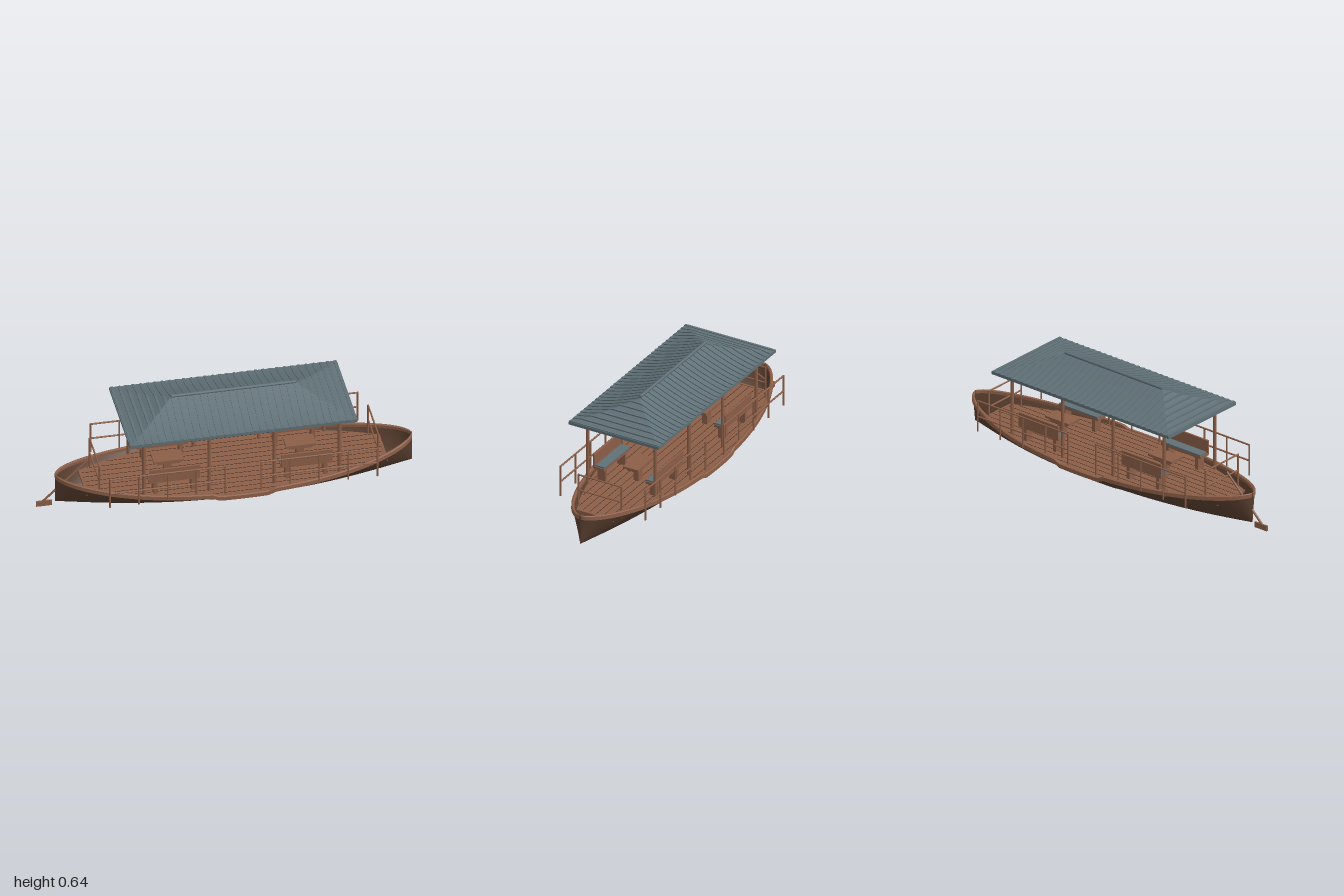
import * as THREE from 'three';

const CX = 0.045, HALF = 0.945;          // hull centre and half length
const DECK = 0.148;
const mat = (name, color, side = THREE.FrontSide) => {
  const m = new THREE.MeshStandardMaterial({ color, side });
  m.name = name;
  return m;
};

// Hull lines as functions of x
const rel = x => Math.min(1, Math.abs((x - CX) / HALF));
const beam = x => 0.281 * Math.pow(1 - rel(x) ** 2, 0.6);
const keel = x => 0.048 * rel(x) ** 2.5;
const sheer = x => {
  const dip = 1 - THREE.MathUtils.smoothstep(Math.abs(x - 0.05), 0.13, 0.17);
  return 0.162 + 0.05 * rel(x) ** 2.5 - 0.015 * dip;
};
const widthAt = (x, y) => beam(x) * Math.pow(THREE.MathUtils.clamp((y - keel(x)) / (sheer(x) - keel(x)), 0, 1), 1 / 1.9);
// Roof height by distance from the eave
const EX = 0.6025, EZ = 0.27;
const roofY = d => 0.532 + 0.088 * Math.pow(Math.max(0, d) / EZ, 1.35);

// Grid surface from f(u, v) -> [x, y, z]
function surface(f, nu, nv) {
  const pos = [], idx = [];
  for (let i = 0; i <= nu; i++) for (let j = 0; j <= nv; j++) pos.push(...f(i / nu, j / nv));
  for (let i = 0; i < nu; i++) for (let j = 0; j < nv; j++) {
    const a = i * (nv + 1) + j, b = a + nv + 1;
    idx.push(a, a + 1, b, a + 1, b + 1, b);
  }
  const g = new THREE.BufferGeometry();
  g.setAttribute('position', new THREE.Float32BufferAttribute(pos, 3));
  g.setIndex(idx);
  g.computeVertexNormals();
  return g;
}

export function createModel() {
  const root = new THREE.Group();
  root.name = 'canopyBoat';
  const hullMat = mat('darkHullWood', 0x573d2e, THREE.DoubleSide);
  const wood = mat('warmWood', 0x8b5e47, THREE.DoubleSide);
  const slate = mat('slateRoof', 0x5f7076, THREE.DoubleSide);
  const seam = mat('deckSeam', 0x3a271d);

  const add = (name, geo, m, parent = root) => {
    const mesh = new THREE.Mesh(geo, m);
    mesh.name = name;
    parent.add(mesh);
    return mesh;
  };
  const group = name => {
    const g = new THREE.Group();
    g.name = name;
    root.add(g);
    return g;
  };
  const box = (name, w, h, d, x, y, z, m = wood, parent = root) => {
    const mesh = add(name, new THREE.BoxGeometry(w, h, d), m, parent);
    mesh.position.set(x, y, z);
    return mesh;
  };
  const bar = (name, a, b, r, parent = root, m = wood) => {
    const p = new THREE.Vector3(...a), q = new THREE.Vector3(...b);
    const mesh = add(name, new THREE.CylinderGeometry(r, r, p.distanceTo(q), 10), m, parent);
    mesh.position.copy(p).lerp(q, 0.5);
    mesh.quaternion.setFromUnitVectors(new THREE.Vector3(0, 1, 0), q.sub(p).normalize());
    return mesh;
  };

  // Hull shell; stations bunch up towards the pointed ends
  const station = u => CX - HALF * Math.cos(u * Math.PI);
  add('hull', surface((u, v) => {
    const x = station(u), s = 1 - 2 * v;
    return [x, keel(x) + (sheer(x) - keel(x)) * Math.pow(Math.abs(s), 1.9), beam(x) * s];
  }, 90, 32), hullMat);

  // Gunwale strips along both sides
  for (const s of [1, -1]) {
    const corners = [[0.005, -0.018], [0.004, 0.003], [-0.004, 0.007], [-0.014, 0.004], [-0.014, -0.012], [0.005, -0.018]];
    add('gunwale', surface((u, v) => {
      const x = station(u), [dz, dy] = corners[Math.round(v * 5)];
      return [x, sheer(x) + dy, s * Math.max(0.002, beam(x) + dz)];
    }, 90, 5).toNonIndexed(), wood).geometry.computeVertexNormals();
  }

  // Deck with plank seams and end beams
  const D0 = -0.75, D1 = 0.835;
  const deckHalf = x => Math.max(0.01, widthAt(x, DECK) - 0.004);
  add('deck', surface((u, v) => {
    const x = D0 + (D1 - D0) * u;
    return [x, DECK, (2 * v - 1) * deckHalf(x)];
  }, 60, 2), wood);
  const seams = group('deckSeams');
  for (let z = -0.24; z < 0.25; z += 0.04) {
    let reach = 0.83;
    while (reach > 0 && deckHalf(CX + reach) < Math.abs(z) + 0.006) reach -= 0.01;
    const a = Math.max(D0, CX - reach), b = Math.min(D1, CX + reach);
    box('plankSeam', b - a, 0.001, 0.002, (a + b) / 2, DECK + 0.0005, z, seam, seams);
  }
  for (const x of [D0, D1]) box('deckEndBeam', 0.012, 0.014, 2 * deckHalf(x), x, DECK - 0.005, 0);

  // Canopy frame
  const frame = group('canopyFrame');
  for (const x of [-0.47, -0.125, 0.22, 0.565]) {
    for (const s of [1, -1]) {
      bar('canopyPost', [x, 0.14, s * 0.203], [x, 0.51, s * 0.203], 0.0095, frame);
      box('postCapital', 0.03, 0.017, 0.034, x, 0.498, s * 0.203, wood, frame);
    }
    box('crossBeam', 0.016, 0.022, 0.4, x, 0.49, 0, wood, frame);
  }
  for (const s of [1, -1]) box('eaveBeam', 1.1, 0.018, 0.022, 0.0475, 0.512, s * 0.203, wood, frame);

  // Hipped roof with a gentle concave sweep
  const roof = group('roof');
  for (const s of [1, -1]) {
    add('roofSide', surface((u, v) => {
      const d = EZ * u;
      return [CX + s * (2 * v - 1) * (EX - d), roofY(d), s * (EZ - d)];
    }, 14, 2), slate, roof);
    add('roofHip', surface((u, v) => {
      const d = EZ * u;
      return [CX + s * (EX - d), roofY(d), -s * (2 * v - 1) * (EZ - d)];
    }, 14, 2), slate, roof);
    box('eaveEdgeLong', 2 * EX, 0.016, 0.012, CX, 0.526, s * (EZ - 0.006), slate, roof);
    box('eaveEdgeShort', 0.012, 0.016, 2 * EZ, CX + s * (EX - 0.006), 0.526, 0, slate, roof);
  }
  // Tile ribs, each following the roof's cross-section
  const ribCount = 32;
  for (let i = 0; i < ribCount; i++) {
    const off = (i / (ribCount - 1) * 2 - 1) * (EX - 0.012);
    const height = z => roofY(Math.min(EZ - Math.abs(z), EX - Math.abs(off)));
    const shape = new THREE.Shape();
    const n = 28;
    for (let k = 0; k <= n; k++) {
      const z = -EZ + 2 * EZ * k / n;
      k ? shape.lineTo(z, height(z) - 0.002) : shape.moveTo(z, height(z) - 0.002);
    }
    for (let k = n; k >= 0; k--) {
      const z = -EZ + 2 * EZ * k / n;
      shape.lineTo(z, height(z) + 0.005);
    }
    const geo = new THREE.ExtrudeGeometry(shape, { depth: 0.014, bevelEnabled: false });
    geo.translate(0, 0, -0.007).rotateY(Math.PI / 2);
    add('tileRib', geo, slate, roof).position.x = CX + off;
  }
  bar('ridge', [-0.285, 0.627, 0], [0.375, 0.627, 0], 0.0085, roof, slate);

  // Side railings, leaving a boarding gap amidships
  const rails = group('railings');
  const TOP = 0.325, MID = 0.235, RZ = 0.255;
  for (const s of [1, -1]) for (const [a, b] of [[-0.66, -0.05], [0.14, 0.755]]) {
    for (const y of [TOP, MID]) bar('sideRail', [a, y, s * RZ], [b, y, s * RZ], 0.0048, rails);
    for (let i = 0; i < 5; i++) {
      const x = a + (b - a) * i / 4;
      bar('railPost', [x, 0.15, s * RZ], [x, TOP + 0.003, s * RZ], 0.0048, rails);
    }
  }
  // End railings
  for (const x of [-0.69, 0.785]) {
    for (const y of [TOP, MID]) bar('endRail', [x, y, -0.13], [x, y, 0.13], 0.0045, rails);
    for (const s of [1, -1]) bar('endRailPost', [x, 0.14, s * 0.13], [x, TOP + 0.003, s * 0.13], 0.005, rails);
  }

  // Benches and tables in two seating bays
  for (const x of [-0.305, 0.395]) {
    for (const s of [1, -1]) {
      const bench = group('bench');
      box('seat', 0.27, 0.014, 0.062, x, 0.228, s * 0.156, wood, bench);
      box('cushion', 0.26, 0.008, 0.054, x, 0.239, s * 0.152, slate, bench);
      box('backrest', 0.27, 0.08, 0.01, x, 0.266, s * 0.188, wood, bench);
      for (const dx of [-0.1, 0.1]) box('benchLeg', 0.02, 0.08, 0.048, x + dx, 0.184, s * 0.157, wood, bench);
    }
    const table = group('table');
    box('tableTop', 0.16, 0.012, 0.09, x, 0.244, 0, wood, table);
    box('tableApron', 0.12, 0.018, 0.064, x, 0.229, 0, wood, table);
    box('tablePedestal', 0.04, 0.08, 0.03, x, 0.184, 0, wood, table);
  }

  // Steering oar at the stern
  const oar = group('steeringOar');
  bar('oarShaft', [-0.725, 0.284, 0], [-0.97, 0.05, 0], 0.006, oar);
  box('oarBlade', 0.083, 0.03, 0.01, -0.9585, 0.043, 0, wood, oar);

  return root;
}
